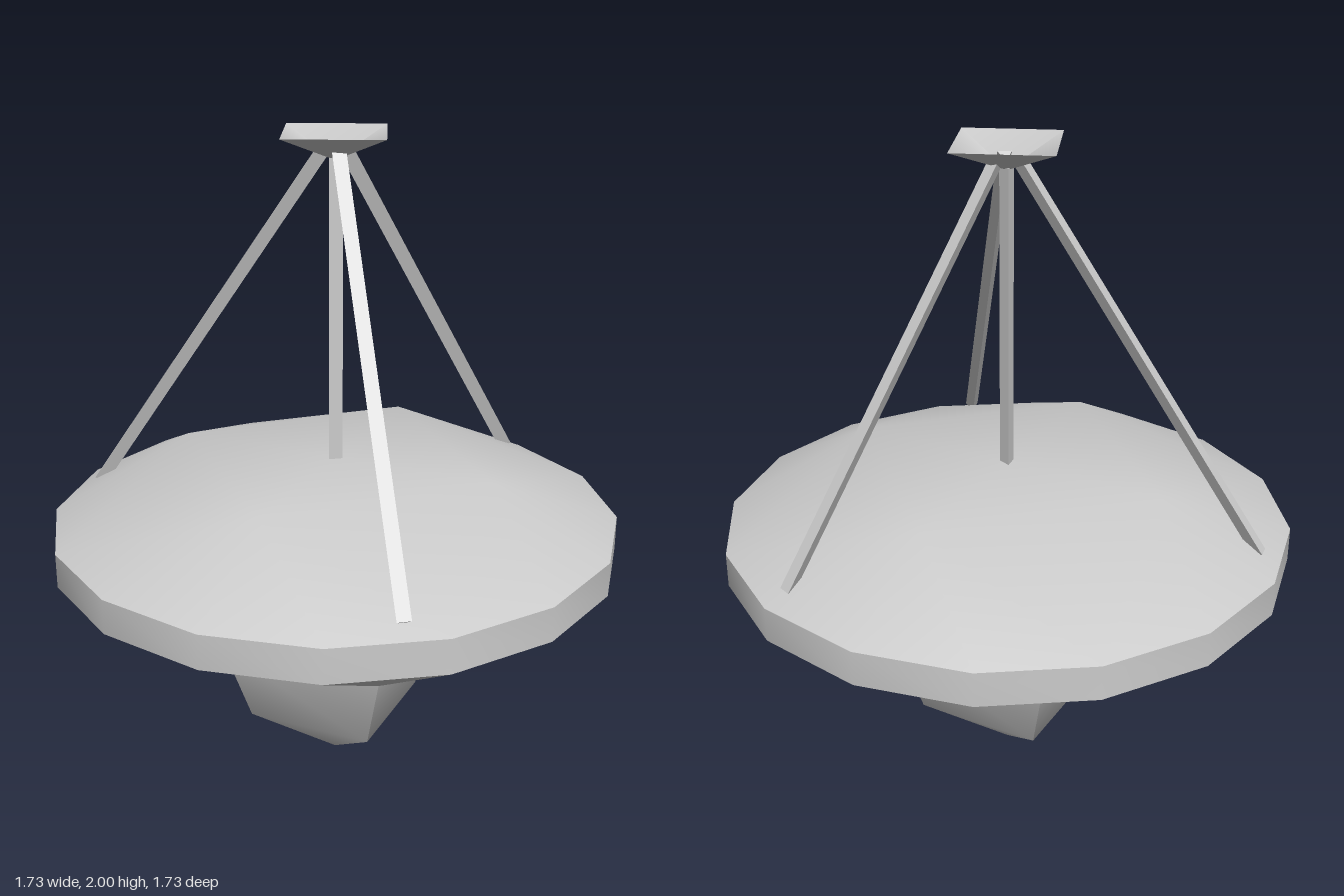
import * as THREE from 'three';
import { toCreasedNormals } from 'three/addons/utils/BufferGeometryUtils.js';

const material = () => new THREE.MeshStandardMaterial({ color: 0xcccccc, side: THREE.DoubleSide });

// Horizontal polygon of n corners, starting at an angle in degrees from +x towards +z
function ring(n, r, y, start = 0) {
  return Array.from({ length: n }, (_, i) => {
    const a = THREE.MathUtils.degToRad(start) + (i / n) * Math.PI * 2;
    return new THREE.Vector3(r * Math.cos(a), y, r * Math.sin(a));
  });
}

// Wall between two rings with the same number of corners
function band(tris, upper, lower) {
  const n = upper.length;
  for (let i = 0; i < n; i++) {
    const j = (i + 1) % n;
    tris.push([lower[i], upper[i], upper[j]]);
    if (!lower[i].equals(lower[j])) tris.push([lower[i], upper[j], lower[j]]);
  }
}

// Slope between a four-cornered ring and the sixteen-cornered rim;
// corner k lines up with rim corner first + 4k
function slope(tris, square, rim, first, faceDown) {
  const add = (a, b, c) => tris.push(faceDown ? [a, c, b] : [a, b, c]);
  for (let k = 0; k < 4; k++) {
    const at = (d) => rim[(first + 4 * k + d + 16) % 16];
    for (let d = -2; d < 2; d++) add(square[k], at(d + 1), at(d));
    add(square[k], square[(k + 1) % 4], at(2));
  }
}

function meshFrom(name, tris, crease = 0.7) {
  const geometry = new THREE.BufferGeometry().setFromPoints(tris.flat());
  geometry.computeVertexNormals();
  const mesh = new THREE.Mesh(toCreasedNormals(geometry, crease), material());
  mesh.name = name;
  return mesh;
}

export function createModel() {
  const model = new THREE.Group();
  model.name = 'dishAntenna';

  const rimTop = ring(16, 0.866, 0.835);
  const rimBottom = ring(16, 0.866, 0.73);
  const crown = ring(4, 0.51, 1.02, -22.5);
  const neck = ring(4, 0.37, 0.425, 22.5);
  const waist = ring(4, 0.283, 0.18, 22.5);
  const tip = ring(4, 0, 0);

  // Dish: flat crown, upper slope, rim and underside
  const dish = [];
  const centre = new THREE.Vector3(0, 1.02, 0);
  for (let k = 0; k < 4; k++) dish.push([centre, crown[(k + 1) % 4], crown[k]]);
  slope(dish, crown, rimTop, -1, false);
  band(dish, rimTop, rimBottom);
  slope(dish, neck, rimBottom, 1, true);
  model.add(meshFrom('dish', dish));

  // Tapered base ending in a point
  const base = [];
  band(base, neck, waist);
  band(base, waist, tip);
  model.add(meshFrom('base', base));

  // Three-sided rods, ridge towards the axis
  const rod = (name, length) => {
    const geometry = new THREE.CylinderGeometry(0.024, 0.024, length, 3);
    geometry.rotateY(-Math.PI / 2);
    const mesh = new THREE.Mesh(toCreasedNormals(geometry, 0.3), material());
    mesh.name = name;
    return mesh;
  };

  // Leaning struts from the rim to the reflector
  const foot = new THREE.Vector2(0.79, 0.86);
  const head = new THREE.Vector2(0.035, 1.955);
  for (let i = 0; i < 3; i++) {
    const pivot = new THREE.Group();
    pivot.name = 'strut' + (i + 1);
    const strut = rod('strutRod', foot.distanceTo(head));
    strut.position.set((foot.x + head.x) / 2, (foot.y + head.y) / 2, 0);
    strut.rotation.z = Math.atan2(foot.x - head.x, head.y - foot.y);
    pivot.add(strut);
    pivot.rotation.y = (i * Math.PI * 2) / 3;
    model.add(pivot);
  }

  // Upright rod in the middle
  const mast = rod('centreMast', 0.91);
  mast.position.y = 1.475;
  model.add(mast);

  // Open, shallow four-sided reflector, point down
  const reflector = new THREE.Mesh(new THREE.CylinderGeometry(0.207, 0, 0.08, 4, 1, true), material());
  reflector.name = 'reflector';
  reflector.position.y = 1.96;
  model.add(reflector);

  return model;
}
